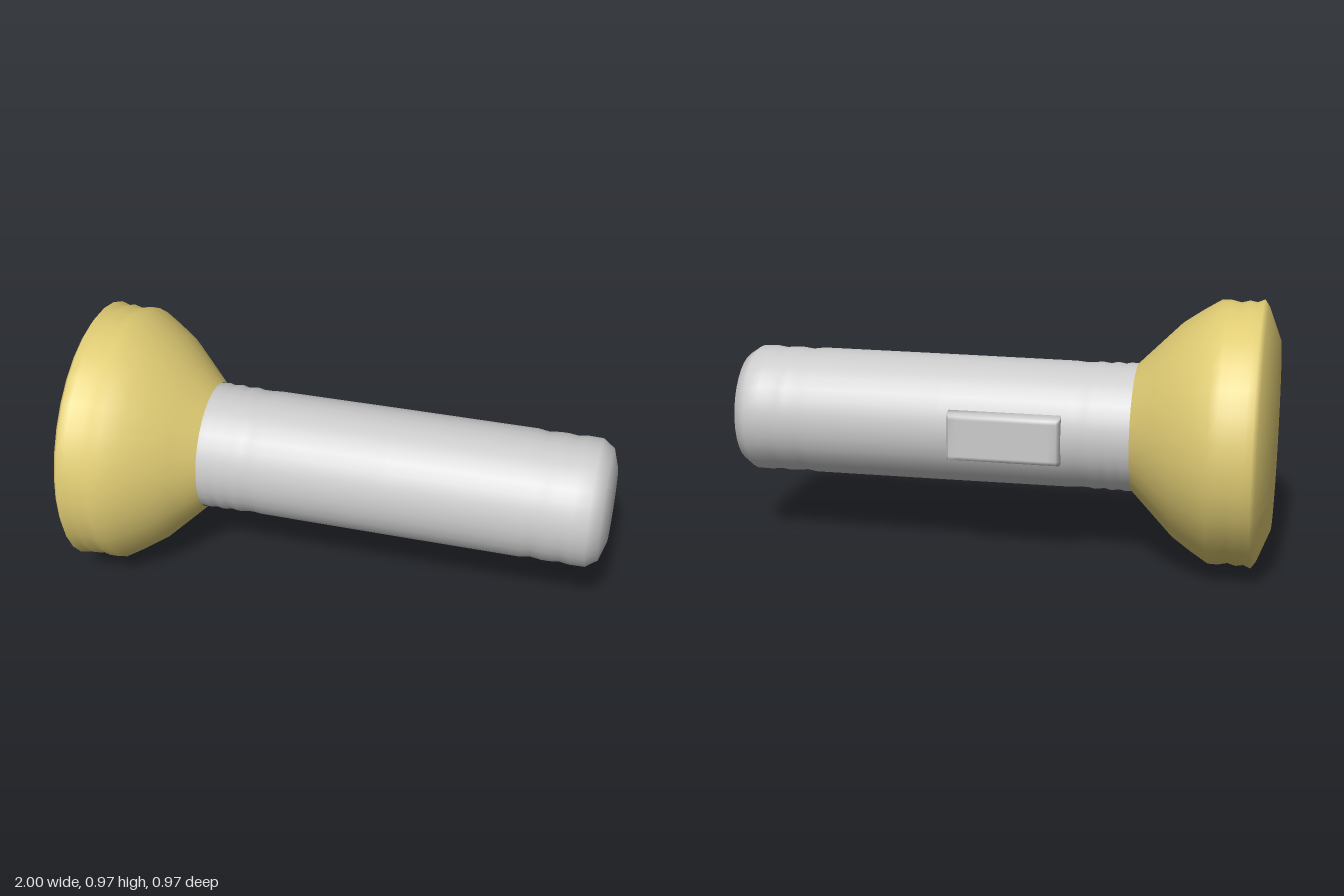
import * as THREE from 'three';
import { mergeVertices } from 'three/addons/utils/BufferGeometryUtils.js';

const AXIS_Y = 0.49;

// Turned part lying along x; profile is a list of [x, radius]
function turned(name, profile, material) {
  const points = profile.map(([x, r]) => new THREE.Vector2(r, x));
  const mesh = new THREE.Mesh(new THREE.LatheGeometry(points, 32), material);
  mesh.rotation.z = -Math.PI / 2;
  mesh.position.y = AXIS_Y;
  mesh.name = name;
  return mesh;
}

// Soft slab on the back of the barrel, tapering towards its outer face
function switchGeometry() {
  const box = new THREE.BoxGeometry(1, 1, 1, 4, 4, 2);
  box.deleteAttribute('uv');
  box.deleteAttribute('normal');
  const geometry = mergeVertices(box);
  const p = geometry.attributes.position;
  const edge = (t) => (Math.abs(t) === 0.25 ? Math.sign(t) * 0.42 : t);
  for (let i = 0; i < p.count; i++) {
    const layer = Math.round((0.5 - p.getZ(i)) * 2); // 0 base, 1 middle, 2 outer
    const width = [0.41, 0.41, 0.39][layer];
    const height = [0.18, 0.175, 0.162][layer];
    const z = [-0.215, -0.25, -0.271][layer];
    p.setXYZ(i, edge(p.getX(i)) * width, edge(p.getY(i)) * height, z);
  }
  geometry.computeVertexNormals();
  return geometry;
}

export function createModel() {
  const model = new THREE.Group();
  model.name = 'flashlight';
  const grey = new THREE.MeshStandardMaterial({ color: 0xcccccc });
  const yellow = new THREE.MeshStandardMaterial({ color: 0xe0cc74 });

  // Flared head with a closed front and a ribbed rim
  model.add(turned('head', [
    [-1, 0], [-1, 0.345], [-0.955, 0.46], [-0.938, 0.485], [-0.912, 0.474],
    [-0.885, 0.479], [-0.855, 0.471], [-0.82, 0.479], [-0.785, 0.478],
    [-0.72, 0.438], [-0.65, 0.39], [-0.575, 0.315], [-0.497, 0.237],
  ], yellow));

  // Barrel with grooves at the neck and tail, and a rounded tail cap
  model.add(turned('barrel', [
    [-0.52, 0.232], [-0.47, 0.236], [-0.45, 0.231], [-0.42, 0.236],
    [-0.395, 0.23], [-0.36, 0.235], [-0.335, 0.23], [-0.3, 0.23],
    [-0.27, 0.233], [0.2, 0.235], [0.7, 0.236], [0.74, 0.23],
    [0.78, 0.235], [0.81, 0.235], [0.845, 0.231], [0.88, 0.236],
    [0.935, 0.235], [0.978, 0.205], [1, 0.135], [1, 0],
  ], grey));

  // Sliding switch
  const slider = new THREE.Mesh(switchGeometry(), grey);
  slider.name = 'switch';
  slider.position.set(-0.047, AXIS_Y, 0);
  model.add(slider);

  return model;
}
